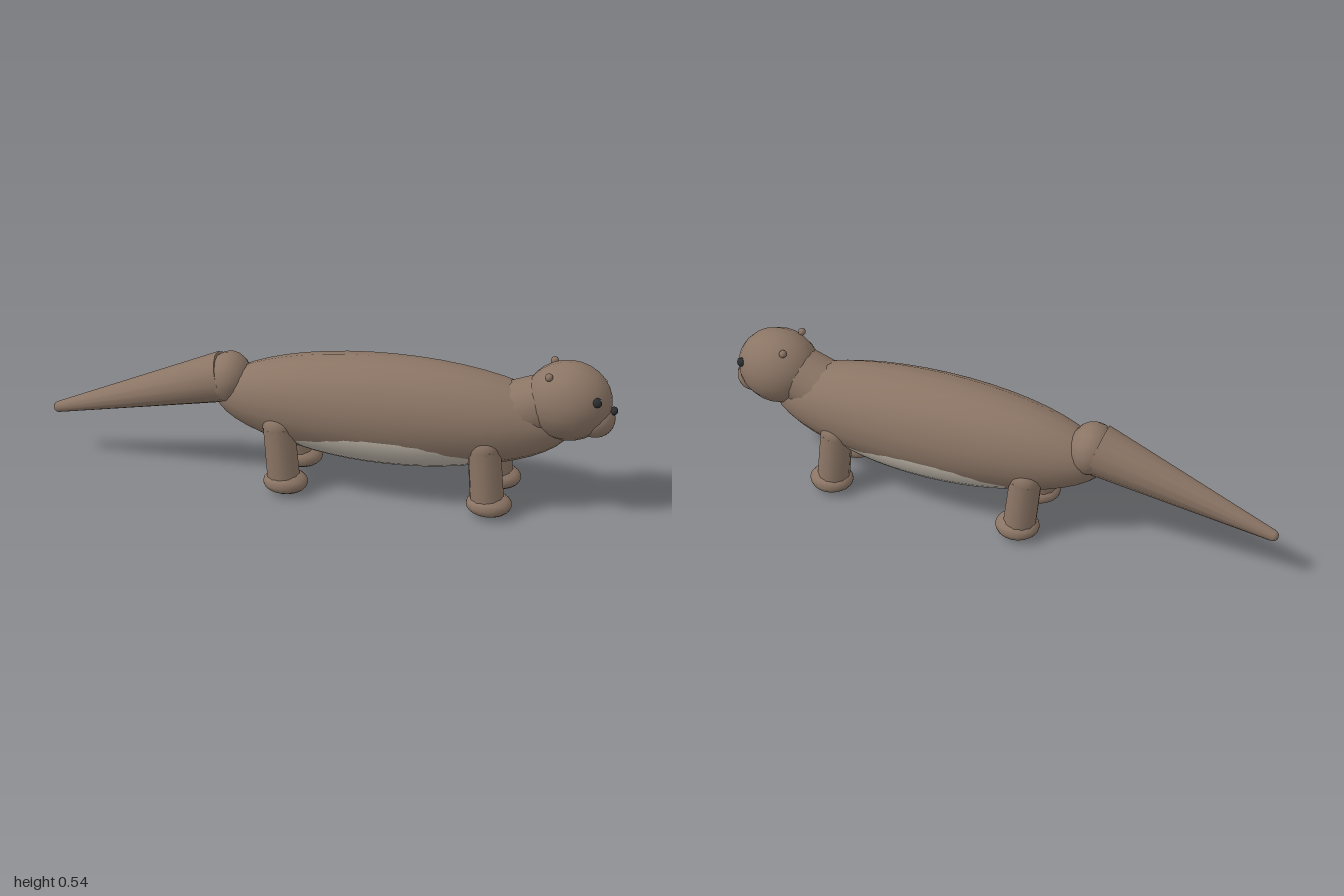
import * as THREE from 'three';

const material = (name, color) => {
  const m = new THREE.MeshStandardMaterial({ color });
  m.name = name;
  return m;
};

export function createModel() {
  const fur = material('brown fur', 0x8b7565);
  const pale = material('pale belly', 0xb8b0a4);
  const dark = material('dark eye and nose', 0x2b2d30);
  const white = material('eye glint', 0xe8e8e8);

  const model = new THREE.Group();
  model.name = 'otter';

  const add = (name, geometry, mat, parent = model) => {
    const mesh = new THREE.Mesh(geometry, mat);
    mesh.name = name;
    parent.add(mesh);
    return mesh;
  };

  // Ellipsoid with its poles along x
  const ellipsoid = (name, mat, [x, y, z], [rx, ry, rz], parent = model, segs = 18, rings = 14) => {
    const g = new THREE.SphereGeometry(1, segs, rings);
    g.rotateZ(-Math.PI / 2).scale(rx, ry, rz).translate(x, y, z);
    return add(name, g, mat, parent);
  };

  // Tapered limb between two points
  const limb = (name, mat, from, to, r0, r1, parent = model, segs = 14) => {
    const a = new THREE.Vector3(...from), b = new THREE.Vector3(...to);
    const d = b.clone().sub(a);
    const g = new THREE.CylinderGeometry(r1, r0, d.length(), segs);
    const mesh = add(name, g, mat, parent);
    mesh.position.copy(a).add(b).multiplyScalar(0.5);
    mesh.quaternion.setFromUnitVectors(new THREE.Vector3(0, 1, 0), d.normalize());
    return mesh;
  };

  // Long body with the belly patch just breaking its surface
  ellipsoid('body', fur, [0.23, 0.308, 0], [0.62, 0.189, 0.175], model, 18, 24);
  ellipsoid('belly', pale, [0.23, 0.25, 0], [0.49, 0.132, 0.164], model, 24, 24);

  // Neck and head
  limb('neck', fur, [0.63, 0.335, 0], [0.8, 0.405, 0], 0.105, 0.098);
  const head = new THREE.Group();
  head.name = 'head';
  model.add(head);
  ellipsoid('skull', fur, [0.832, 0.403, 0], [0.146, 0.136, 0.128], head);
  ellipsoid('muzzle', fur, [0.925, 0.347, 0], [0.066, 0.062, 0.077], head);
  ellipsoid('nose', dark, [0.984, 0.381, 0], [0.014, 0.013, 0.021], head, 12, 8);

  for (const s of [1, -1]) {
    ellipsoid('eye', dark, [0.934, 0.441, s * 0.083], [0.016, 0.017, 0.015], head, 12, 8);
    ellipsoid('eyeGlint', white, [0.946, 0.45, s * 0.084], [0.004, 0.004, 0.004], head, 8, 6);
    ellipsoid('ear', fur, [0.772, 0.511, s * 0.074], [0.013, 0.014, 0.014], head, 10, 8);
  }

  // Tail with rounded root and tip
  ellipsoid('tailRoot', fur, [-0.34, 0.363, 0], [0.078, 0.092, 0.095], model, 14, 10);
  limb('tail', fur, [-0.36, 0.363, 0], [-0.98, 0.179, 0], 0.09, 0.02);
  ellipsoid('tailTip', fur, [-0.98, 0.179, 0], [0.02, 0.02, 0.02], model, 12, 8);

  // Four legs with broad paws
  for (const [name, x] of [['frontLeg', 0.58], ['hindLeg', -0.13]]) {
    for (const s of [1, -1]) {
      const leg = new THREE.Group();
      leg.name = name;
      model.add(leg);
      ellipsoid('shoulder', fur, [x - 0.008, 0.24, s * 0.096], [0.056, 0.058, 0.056], leg, 12, 10);
      limb('shin', fur, [x - 0.008, 0.24, s * 0.096], [x + 0.01, 0.05, s * 0.106], 0.056, 0.058, leg, 12);
      ellipsoid('paw', fur, [x + 0.017, 0.042, s * 0.107], [0.078, 0.041, 0.072], leg, 12, 10);
    }
  }

  return model;
}
